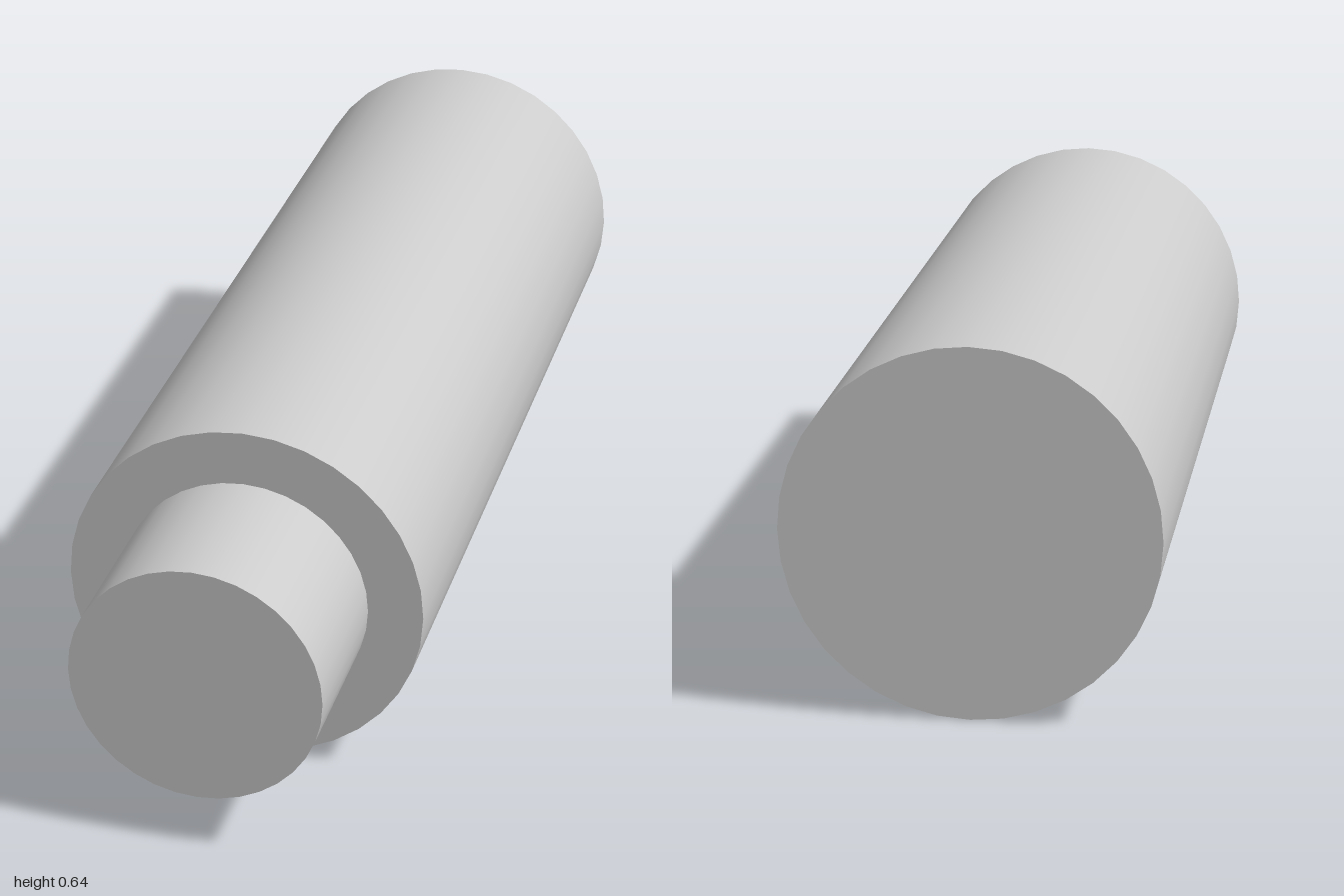
import * as THREE from 'three';

const AXIS_HEIGHT = 0.322;
const SIDES = 36;

export function createModel() {
  const group = new THREE.Group();
  group.name = 'steppedShaft';
  const material = new THREE.MeshStandardMaterial({ color: 0xcccccc });

  // Solid cylinder lying along z, from zBack to zFront
  const addShaft = (name, radius, zBack, zFront) => {
    const geometry = new THREE.CylinderGeometry(radius, radius, zFront - zBack, SIDES);
    geometry.rotateX(Math.PI / 2);
    const mesh = new THREE.Mesh(geometry, material);
    mesh.name = name;
    mesh.position.set(0, AXIS_HEIGHT, (zBack + zFront) / 2);
    group.add(mesh);
  };

  // Wide main body
  addShaft('body', 0.322, -1, 0.692);
  // Narrower stub at the front
  addShaft('frontStub', 0.223, 0.692, 1);

  return group;
}
